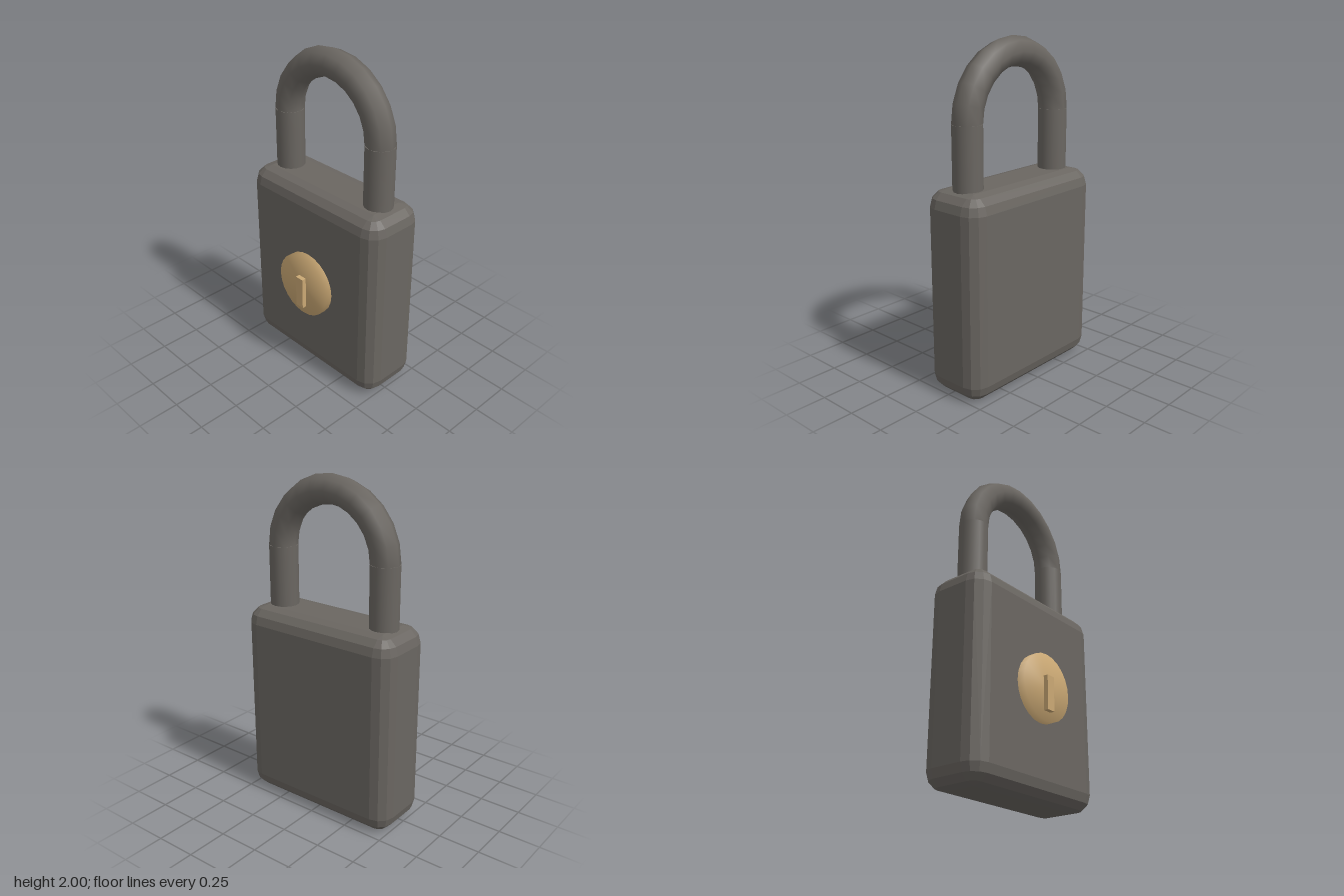
import * as THREE from 'three';
import { ConvexGeometry } from 'three/addons/geometries/ConvexGeometry.js';

const steel = new THREE.MeshStandardMaterial({ color: 0x6a6661 });
steel.name = 'dark steel';
const brass = new THREE.MeshStandardMaterial({ color: 0xcaa874 });
brass.name = 'brass';

// Box with edges rounded in three flat facets: the hull of a sphere at each corner
function facetedBox(w, h, d, r) {
  const ball = new THREE.SphereGeometry(r, 12, 6).getAttribute('position');
  const points = [];
  for (const sx of [-1, 1]) for (const sy of [-1, 1]) for (const sz of [-1, 1]) {
    const corner = new THREE.Vector3(sx * (w / 2 - r), sy * (h / 2 - r), sz * (d / 2 - r));
    for (let i = 0; i < ball.count; i++) {
      const p = new THREE.Vector3().fromBufferAttribute(ball, i);
      // keep only the octant facing out of this corner
      if (p.x * sx > -1e-6 && p.y * sy > -1e-6 && p.z * sz > -1e-6) {
        p.set(...p.toArray().map((v) => Math.round(v * 1e5) / 1e5));
        if (!points.some((q) => q.distanceTo(p.clone().add(corner)) < 1e-4)) points.push(p.add(corner));
      }
    }
  }
  return new ConvexGeometry(points);
}

export function createModel() {
  const model = new THREE.Group();
  model.name = 'padlock';
  const add = (name, geometry, material, x, y, z) => {
    const mesh = new THREE.Mesh(geometry, material);
    mesh.name = name;
    mesh.position.set(x, y, z);
    model.add(mesh);
    return mesh;
  };
  const midZ = -0.04, bend = 0.358, rod = 0.085, bendY = 1.557;

  // Lock body
  add('body', facetedBox(1.032, 1.2, 0.396, 0.1), steel, 0, 0.6, -0.038);

  // Shackle: a half ring on two straight legs
  add('shackleBow', new THREE.TorusGeometry(bend, rod, 8, 12, Math.PI), steel, 0, bendY, midZ);
  for (const [name, side] of [['leftLeg', 1], ['rightLeg', -1]]) {
    add(name, new THREE.CylinderGeometry(rod, rod, 0.41, 16), steel, side * bend, bendY - 0.205, midZ);
  }

  // Key plug, softly shaded over its rim
  const profile = [[0.197, 0], [0.197, 0.107], [0, 0.107]].map(([x, y]) => new THREE.Vector2(x, y));
  const plug = add('keyPlug', new THREE.LatheGeometry(profile, 24), brass, 0, 0.602, 0.1);
  plug.rotation.x = Math.PI / 2;

  // Raised key slot
  add('keySlot', new THREE.BoxGeometry(0.056, 0.2, 0.06), brass, 0, 0.563, 0.204);
  return model;
}
